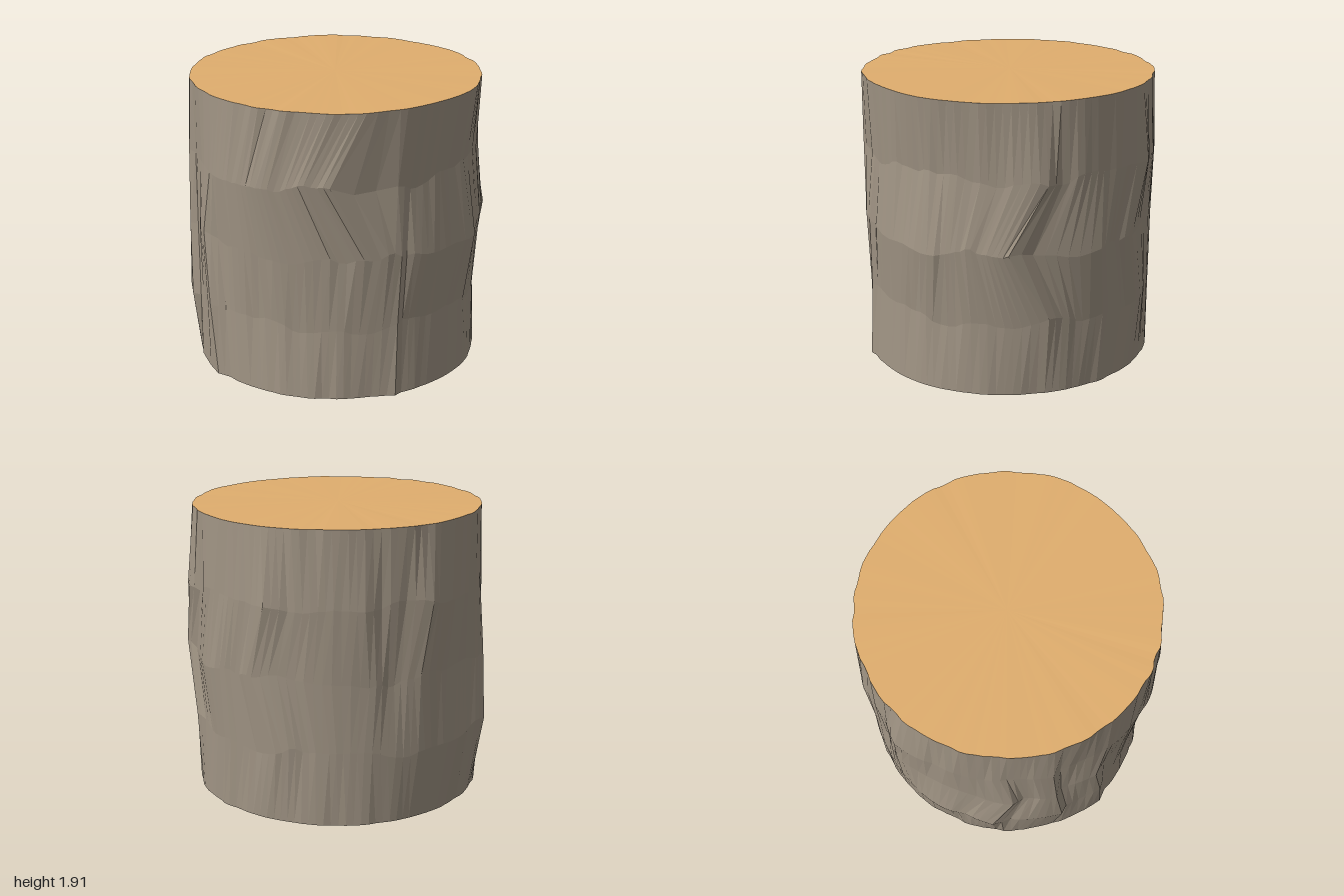
import * as THREE from 'three';

const SEGMENTS = 120;
const STEP = 360 / SEGMENTS;
const RING_Y = [0.01, 0.48, 0.95, 1.42, 1.91];

// Radius of each ring at eight directions, from the front round by the left side
const RING_RADII = [
  [0.955, 0.95, 0.965, 0.94, 0.93, 0.94, 0.92, 0.94],
  [0.925, 0.935, 0.93, 0.94, 0.925, 0.945, 0.985, 0.95],
  [0.95, 0.935, 0.985, 0.955, 0.945, 0.935, 0.945, 0.94],
  [0.995, 0.93, 0.905, 0.955, 0.96, 0.945, 0.955, 0.935],
  [0.955, 0.95, 0.96, 0.945, 0.945, 0.94, 0.94, 0.945],
];

// Bark ridges: the column each follows, its rise and fall widths in columns,
// and its angle and height on every ring from bottom to top
const RIDGES = [
  { column: 15, rise: 7, fall: 2, angle: [44, 45, 47, 28, 41], height: [0, 0.01, 0.035, 0.035, 0.015] },
  { column: 18, rise: 3, fall: 1, angle: [53, 54, 55, 54, 54], height: [0.02, 0.025, 0.03, 0.005, 0] },
  { column: 32, rise: 5, fall: 1, angle: [95, 94, 97, 96, 96], height: [0, 0.01, 0.015, 0, 0] },
  { column: 46, rise: 7, fall: 2, angle: [139, 140, 125, 139, 138], height: [0, 0.03, 0.045, 0.045, 0.005] },
  { column: 54, rise: 4, fall: 3, angle: [162, 164, 161, 163, 163], height: [0, 0.015, 0.035, 0, 0] },
  { column: 62, rise: 3, fall: 3, angle: [188, 190, 180, 187, 185], height: [0, 0.03, 0.02, 0.045, 0.005] },
  { column: 75, rise: 6, fall: 2, angle: [226, 224, 226, 224, 224], height: [0, 0.01, 0.02, 0.035, 0] },
  { column: 83, rise: 3, fall: 5, angle: [249, 249, 246, 250, 250], height: [0, 0, 0.04, 0.05, 0] },
  { column: 97, rise: 4, fall: 2, angle: [290, 289, 297, 292, 292], height: [0, 0.04, 0.035, 0, 0] },
  { column: 105, rise: 6, fall: 1, angle: [315, 317, 314, 312, 312], height: [0, 0.045, 0.045, 0.03, 0] },
  { column: 111, rise: 4, fall: 2, angle: [338, 335, 331, 333, 333], height: [0.03, 0.05, 0.04, 0, 0] },
];

function seeded(seed) {
  return () => {
    seed = (seed * 1664525 + 1013904223) % 4294967296;
    return seed / 4294967296 - 0.5;
  };
}

// Columns lean sideways so that ridge lines run unbroken from ring to ring
function columnAngle(column, level) {
  const next = RIDGES.findIndex((r) => r.column > column);
  const b = RIDGES[Math.max(next, 0)];
  const a = RIDGES[(Math.max(next, 0) + RIDGES.length - 1) % RIDGES.length];
  const span = (b.column - a.column + SEGMENTS) % SEGMENTS;
  const t = ((column - a.column + SEGMENTS) % SEGMENTS) / span;
  const shift = (r) => r.angle[level] - r.column * STEP;
  return column * STEP + THREE.MathUtils.lerp(shift(a), shift(b), t);
}

function ridgeHeight(column, ridge, level) {
  const half = SEGMENTS / 2;
  const d = ((column - ridge.column + SEGMENTS + half) % SEGMENTS) - half;
  return ridge.height[level] * Math.max(0, d < 0 ? 1 + d / ridge.rise : 1 - d / ridge.fall);
}

// One uneven ring of points around the log
function makeRing(level, random) {
  const points = [];
  const isEnd = level === 0 || level === 4;
  const radii = RING_RADII[level];
  let grain = 0;
  for (let i = 0; i < SEGMENTS; i++) {
    const angle = (columnAngle(i, level) + 360) % 360;
    const k = Math.floor(angle / 45);
    let r = THREE.MathUtils.lerp(radii[k], radii[(k + 1) % 8], angle / 45 - k);
    for (const ridge of RIDGES) r += ridgeHeight(i, ridge, level);
    if (i % 2 === 0) grain = random();
    r += grain * 0.014;
    const a = THREE.MathUtils.degToRad(angle);
    const wave = Math.sin(a * 5 + level * 2) * 0.022 + Math.sin(a * 13 + level) * 0.014 + grain * 0.03;
    const y = RING_Y[level] + wave * (isEnd ? 0.06 : 1);
    points.push(new THREE.Vector3(Math.sin(a) * r, y, Math.cos(a) * r));
  }
  return points;
}

function flatGeometry(triangles) {
  const geometry = new THREE.BufferGeometry().setFromPoints(triangles);
  geometry.computeVertexNormals();
  return geometry;
}

// Sawn end: a fan from the middle to the rim
function endFan(ring, y, up) {
  const centre = new THREE.Vector3(0, y, 0);
  const triangles = [];
  ring.forEach((p, i) => {
    const q = ring[(i + 1) % SEGMENTS];
    triangles.push(centre, ...(up ? [p, q] : [q, p]));
  });
  return flatGeometry(triangles);
}

export function createModel() {
  const bark = new THREE.MeshStandardMaterial({ color: 0xa09484, flatShading: true });
  bark.name = 'bark';
  const wood = new THREE.MeshStandardMaterial({ color: 0xe0ae6e });
  wood.name = 'cutWood';

  const random = seeded(7);
  const rings = RING_Y.map((_, level) => makeRing(level, random));

  // Bark wall between neighbouring rings
  const wall = [];
  for (let level = 0; level < 4; level++) {
    for (let i = 0; i < SEGMENTS; i++) {
      const j = (i + 1) % SEGMENTS;
      const [a, b] = [rings[level][i], rings[level][j]];
      const [d, c] = [rings[level + 1][i], rings[level + 1][j]];
      wall.push(a, b, c, a, c, d);
    }
  }

  const log = new THREE.Group();
  log.name = 'log';
  const add = (name, geometry, material) => {
    const mesh = new THREE.Mesh(geometry, material);
    mesh.name = name;
    log.add(mesh);
  };
  add('barkWall', flatGeometry(wall), bark);
  add('topCut', endFan(rings[4], RING_Y[4], true), wood);
  add('bottomCut', endFan(rings[0], RING_Y[0], false), wood);
  return log;
}
